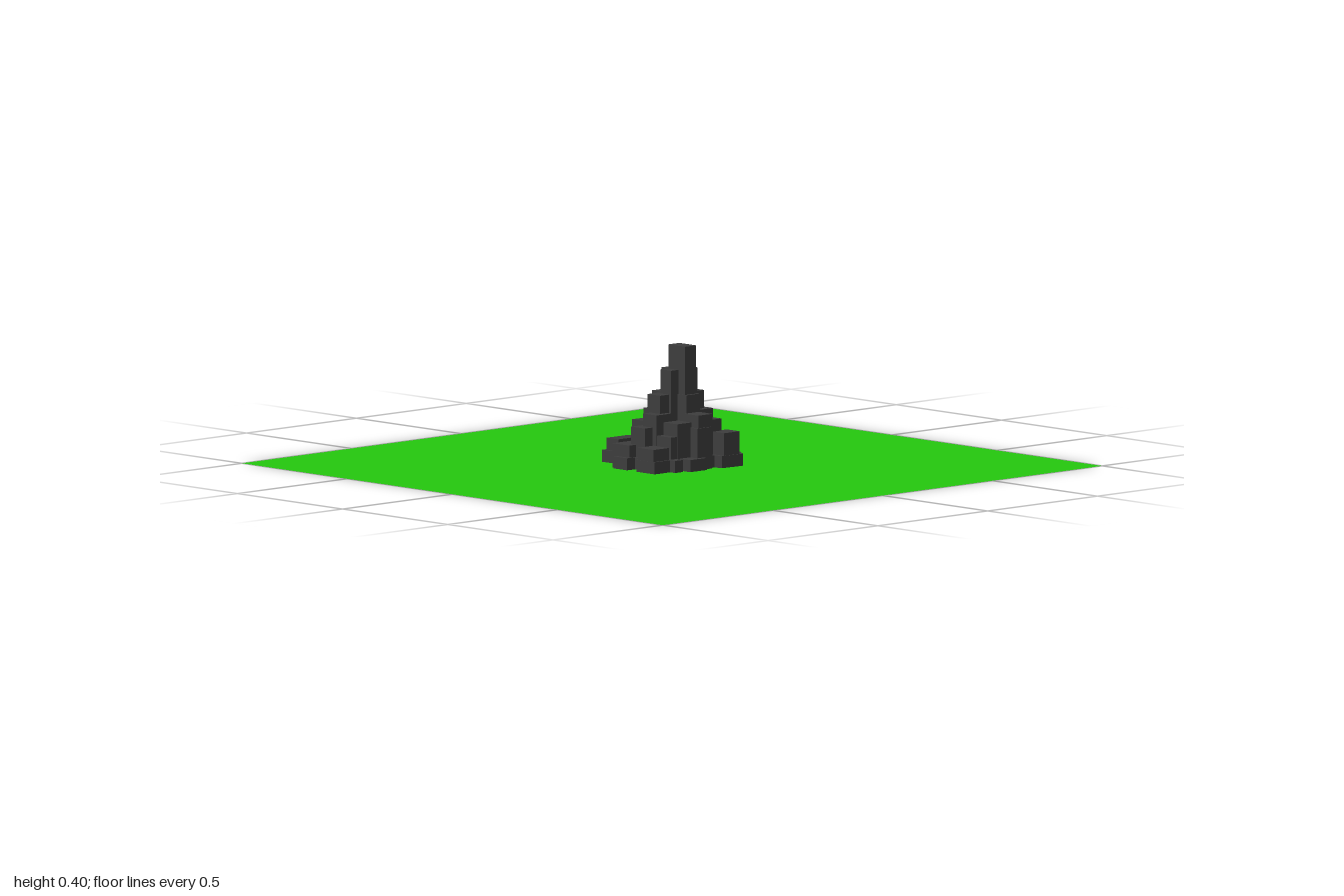
import * as THREE from 'three';

export function createModel() {
  const model = new THREE.Group();
  const stone = new THREE.MeshStandardMaterial({ color: 0x3d3d3d, flatShading: true });
  const grass = new THREE.MeshStandardMaterial({ color: 0x24c80e, side: THREE.DoubleSide });
  const plan = (Type, points) => new Type(points.map(([x, z]) => new THREE.Vector2(x, -z)));

  // Flat ground with a narrow opening hidden under the tower
  const field = plan(THREE.Shape, [[-1, 1], [1, 1], [1, -1], [-1, -1]]);
  field.holes.push(plan(THREE.Path, [[0.126, -0.09], [0.094, -0.1], [-0.185, 0.045], [-0.185, 0.12]]));
  const ground = new THREE.Mesh(new THREE.ShapeGeometry(field), grass);
  ground.name = 'ground';
  ground.rotation.x = -Math.PI / 2;
  model.add(ground);

  const tower = new THREE.Group();
  tower.name = 'steppedTower';
  model.add(tower);
  const addBlock = (name, x, z, width, depth, height) => {
    const block = new THREE.Mesh(new THREE.BoxGeometry(width, height, depth), stone);
    block.position.set(x, height / 2, z);
    block.name = name;
    tower.add(block);
  };

  addBlock('spire', 0.013, 0.035, 0.05, 0.08, 0.4);

  // Each tier is a ring of blocks touching its four limits, open at the back left corner in plan
  const tiers = [
    { name: 'upperBlock', h: 0.32, x: [-0.045, 0.075], z: [-0.04, 0.075], size: 0.05, count: 4 },
    { name: 'shoulderBlock', h: 0.24, x: [-0.085, 0.115], z: [-0.08, 0.085], size: 0.06, count: 4 },
    { name: 'middleBlock', h: 0.18, x: [-0.12, 0.137], z: [-0.11, 0.15], size: 0.065, count: 8 },
    { name: 'lowerBlock', h: 0.138, x: [-0.155, 0.155], z: [-0.155, 0.155], size: 0.065, count: 8 },
  ];
  for (const { name, h, x, z, size, count } of tiers) {
    const cx = (x[0] + x[1]) / 2, cz = (z[0] + z[1]) / 2;
    const rx = (x[1] - x[0] - size) / 2, rz = (z[1] - z[0] - size) / 2;
    for (let i = 0; i < count; i++) {
      if (count === 8 && i === 5) continue;
      const a = (i / count) * Math.PI * 2;
      // Diagonal blocks sit one small step lower
      const height = i % 2 && count === 8 ? h - 0.025 : h;
      addBlock(name, cx + rx * Math.cos(a), cz + rz * Math.sin(a), size, size, height);
    }
  }

  // Irregular outer blocks: centre x, centre z, width, depth, height
  const outer = [
    [-0.163, 0.082, 0.07, 0.075, 0.08], [-0.14, -0.05, 0.09, 0.08, 0.08],
    [-0.06, -0.168, 0.1, 0.055, 0.08], [0.115, -0.14, 0.065, 0.06, 0.138],
    [0.105, 0.145, 0.07, 0.06, 0.115], [0.15, -0.04, 0.04, 0.17, 0.08],
    [-0.15, 0.083, 0.1, 0.087, 0.04], [-0.14, -0.037, 0.12, 0.065, 0.04],
    [-0.12, -0.02, 0.09, 0.16, 0.04], [-0.06, -0.169, 0.12, 0.076, 0.04],
    [-0.112, 0.125, 0.035, 0.05, 0.04], [-0.042, 0.125, 0.075, 0.09, 0.04],
  ];
  for (const size of outer) addBlock('outerBlock', ...size);

  // Low terraces with cut corners, extruded upwards from a plan of [x, z]
  const addTerrace = (name, points) => {
    const geometry = new THREE.ExtrudeGeometry(plan(THREE.Shape, points), { depth: 0.04, bevelEnabled: false });
    const terrace = new THREE.Mesh(geometry, stone);
    terrace.rotation.x = -Math.PI / 2;
    terrace.name = name;
    tower.add(terrace);
  };
  addTerrace('eastTerrace', [[-0.04, 0.14], [0.055, 0.145], [0.06, 0.175], [0.15, 0.18], [0.183, 0.13],
    [0.183, -0.04], [0.165, -0.1], [0.155, -0.185], [0.075, -0.185], [0.07, -0.17], [-0.04, -0.17]]);
  addTerrace('backTerrace', [[0.02, -0.1], [0.02, -0.175], [0, -0.207], [-0.03, -0.207], [-0.03, -0.1]]);
  return model;
}
